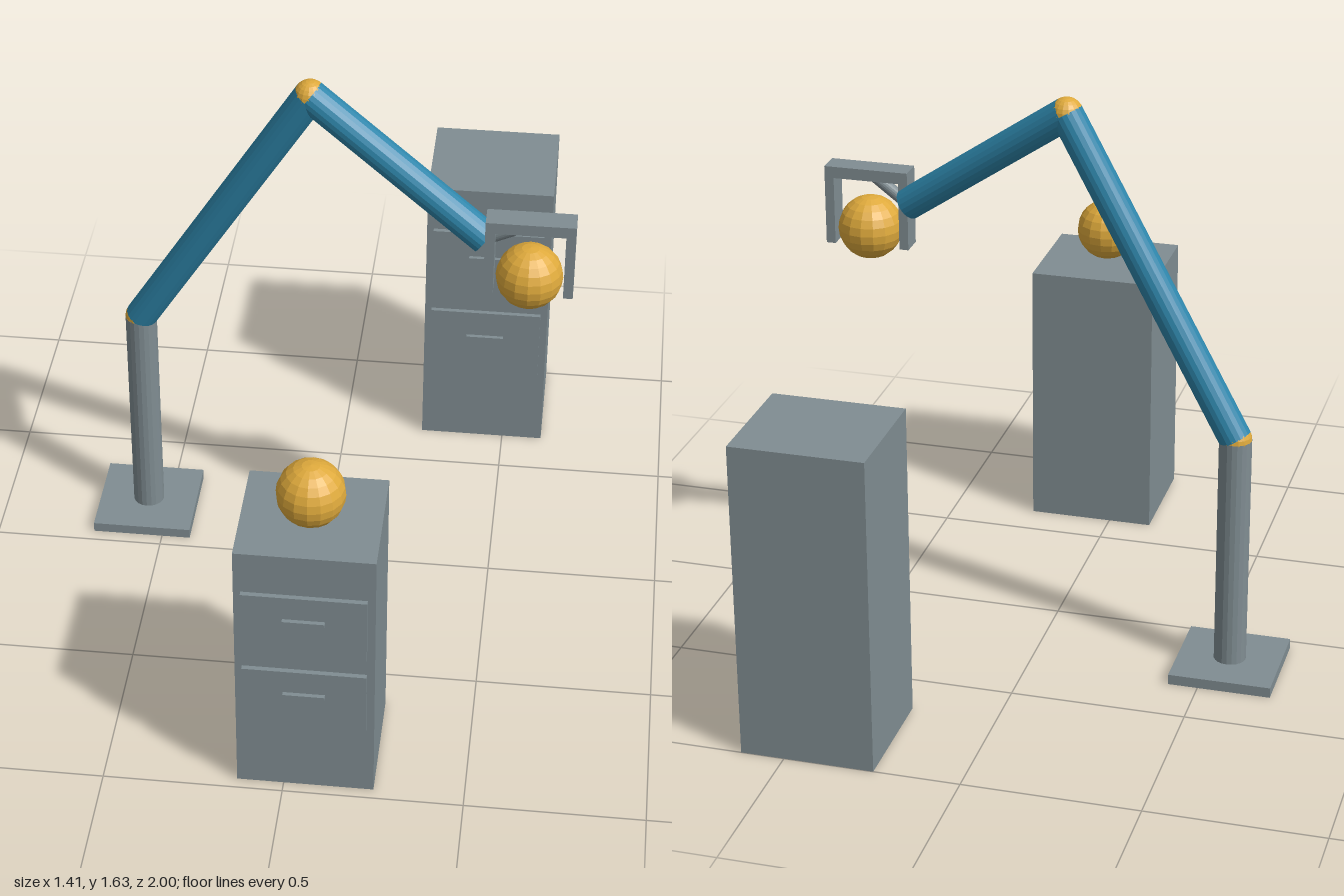
import * as THREE from 'three';

const material = (name, color) => {
  const m = new THREE.MeshStandardMaterial({ color, flatShading: true });
  m.name = name;
  return m;
};

export function createModel() {
  const steel = material('steel grey', 0x808d92);
  const blue = material('arm blue', 0x2e86ab);
  const gold = material('ball gold', 0xdfaa3c);
  const model = new THREE.Group();
  model.name = 'robotArmWithCabinets';

  const part = (parent, name, geometry, mat, x, y, z) => {
    const mesh = new THREE.Mesh(geometry, mat);
    mesh.name = name;
    mesh.position.set(x, y, z);
    parent.add(mesh);
    return mesh;
  };
  const box = (parent, name, w, h, d, x, y, z) =>
    part(parent, name, new THREE.BoxGeometry(w, h, d), steel, x, y, z);
  const ball = (parent, name, r, p) =>
    part(parent, name, new THREE.SphereGeometry(r, 16, 12), gold, p.x, p.y, p.z);
  const group = (name) => {
    const g = new THREE.Group();
    g.name = name;
    model.add(g);
    return g;
  };

  // Round rod running from point a to point b
  const rod = (parent, name, a, b, r, mat) => {
    const dir = b.clone().sub(a);
    const mid = a.clone().add(b).multiplyScalar(0.5);
    const mesh = part(parent, name, new THREE.CylinderGeometry(r, r, dir.length(), 20), mat, mid.x, mid.y, mid.z);
    mesh.quaternion.setFromUnitVectors(new THREE.Vector3(0, 1, 0), dir.normalize());
  };

  // Arm: base plate, column, two links and their joints
  const R = 0.0465;
  const foot = new THREE.Vector3(-0.562, 0.03, -0.187);
  const shoulder = new THREE.Vector3(-0.562, 0.72, -0.187);
  const elbow = new THREE.Vector3(-0.043, 1.587, -0.067);
  const wrist = new THREE.Vector3(0.456, 1.232, 0.047);
  const arm = group('arm');
  box(arm, 'basePlate', 0.295, 0.03, 0.295, foot.x, 0.015, foot.z);
  rod(arm, 'column', foot, shoulder, R, steel);
  rod(arm, 'upperArm', shoulder, elbow, R, blue);
  rod(arm, 'forearm', elbow, wrist, R, blue);
  ball(arm, 'shoulderJoint', R, shoulder);
  ball(arm, 'elbowJoint', R, elbow);

  // Gripper: bar, two fingers, link to the wrist and the held ball
  const gripper = group('gripper');
  const grip = new THREE.Vector3(0.581, 1.308, 0.076);
  rod(gripper, 'wristLink', wrist, grip, 0.018, steel);
  box(gripper, 'crossbar', 0.248, 0.034, 0.07, grip.x, grip.y, grip.z);
  for (const side of [-1, 1]) {
    box(gripper, side < 0 ? 'rightFinger' : 'leftFinger', 0.027, 0.205, 0.07, grip.x + side * 0.1105, 1.1935, grip.z);
  }
  ball(gripper, 'heldBall', 0.0935, new THREE.Vector3(0.582, 1.139, 0.079));

  // Cabinets with two drawers each; drawers stand slightly off the front
  const cabinet = (name, x, front, height) => {
    const g = group(name);
    box(g, 'cabinetBody', 0.379, height, 0.348, x, height / 2, front - 0.174);
    for (const level of [0.405, 0.725]) {
      const y = level * height;
      box(g, 'drawerFront', 0.337, height * 0.249, 0.014, x, y, front + 0.014);
      box(g, 'drawerHandle', 0.114, 0.017, 0.013, x, y + height * 0.025, front + 0.0265);
    }
  };
  cabinet('frontCabinet', 0.06, 0.967, 0.816);
  cabinet('backCabinet', 0.434, -0.652, 0.923);
  ball(model, 'restingBall', 0.0935, new THREE.Vector3(0.06, 0.911, 0.81));

  return model;
}
